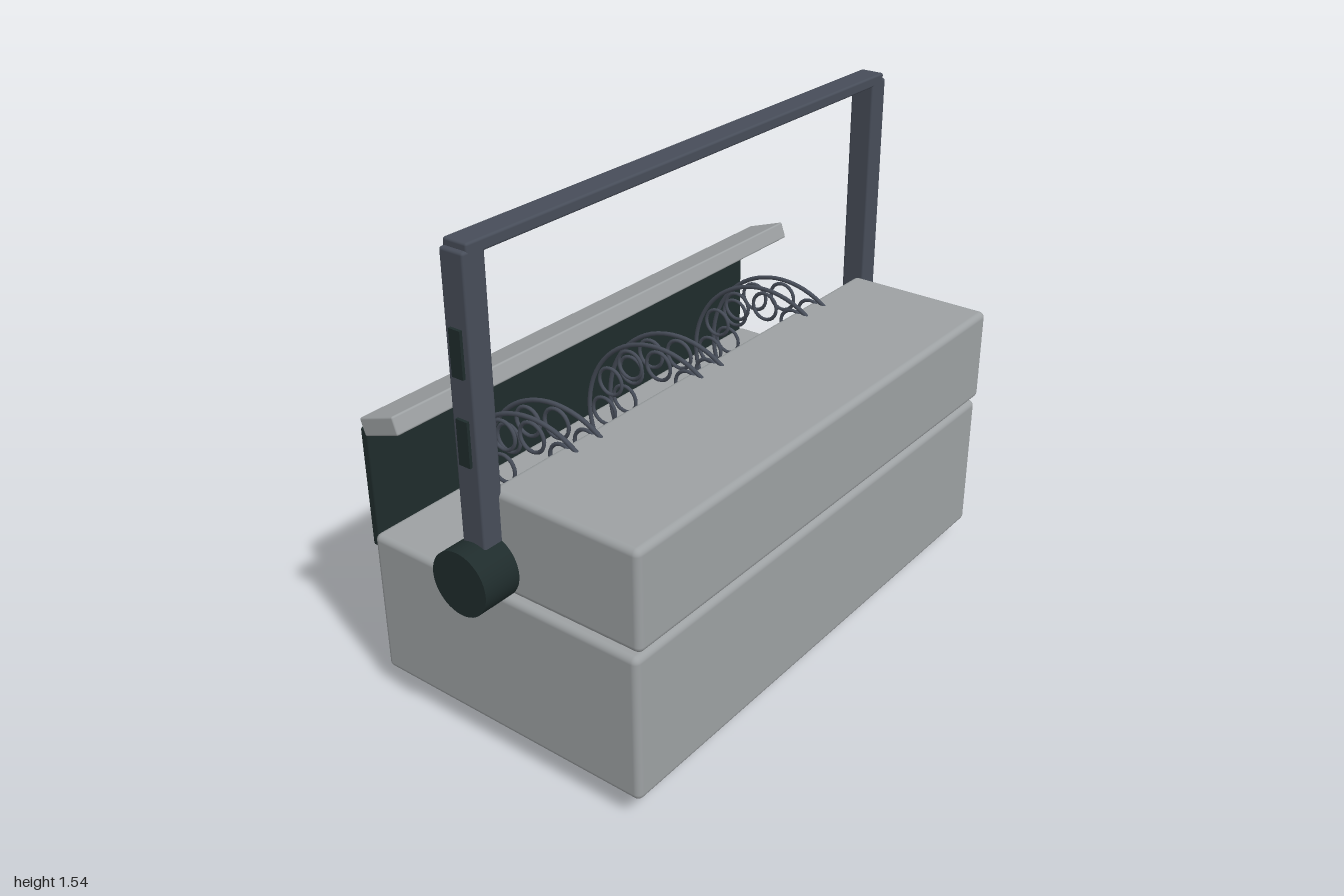
import * as THREE from 'three';
import { RoundedBoxGeometry } from 'three/addons/geometries/RoundedBoxGeometry.js';

const shell = new THREE.MeshStandardMaterial({ name: 'shell grey', color: 0x9da1a3 });
const frame = new THREE.MeshStandardMaterial({ name: 'slate metal', color: 0x474d59 });
const dark = new THREE.MeshStandardMaterial({ name: 'dark rubber', color: 0x1f2c2c });

export function createModel() {
  const model = new THREE.Group();
  model.name = 'ringBinderCase';

  const add = (name, geometry, material, x, y, z, parent = model) => {
    const mesh = new THREE.Mesh(geometry, material);
    mesh.name = name;
    mesh.position.set(x, y, z);
    parent.add(mesh);
    return mesh;
  };
  // Rounded box given by its min/max extents in y and z, centred on x
  const roundedBox = (name, material, width, y0, y1, z0, z1, r) =>
    add(name, new RoundedBoxGeometry(width, y1 - y0, z1 - z0, 3, r), material, 0, (y0 + y1) / 2, (z0 + z1) / 2);

  // Case: wide base, shorter front housing, rear panel
  roundedBox('base', shell, 1.76, 0.07, 0.53, -0.472, 0.485, 0.02);
  roundedBox('frontHousing', shell, 1.755, 0.547, 0.852, 0.005, 0.495, 0.02);
  roundedBox('rearPanel', dark, 1.735, 0.48, 0.86, -0.493, -0.463, 0.008);

  // Tilted strip above the rear panel
  const strip = add('tiltedStrip', new RoundedBoxGeometry(1.8, 0.055, 0.142, 2, 0.006), shell, 0, 0.913, -0.374);
  strip.rotation.x = -0.33;

  // Feet
  const footGeometry = new THREE.CylinderGeometry(0.05, 0.05, 0.08, 24);
  for (const x of [-0.707, 0.707])
    for (const z of [-0.35, 0.362]) add('foot', footGeometry, dark, x, 0.04, z);

  // Carrying handle: top bar, side posts, inset pads and pivot knobs
  const handle = new THREE.Group();
  handle.name = 'handle';
  model.add(handle);
  add('handleBar', new RoundedBoxGeometry(1.85, 0.035, 0.08, 2, 0.007), frame, 0, 1.522, 0, handle);
  const postGeometry = new RoundedBoxGeometry(0.074, 0.9, 0.08, 2, 0.008);
  const padGeometry = new THREE.BoxGeometry(0.02, 0.13, 0.038);
  const knobGeometry = new THREE.CylinderGeometry(0.095, 0.095, 0.13, 40).rotateZ(Math.PI / 2);
  for (const side of [-1, 1]) {
    add('handlePost', postGeometry, frame, side * 0.902, 1.07, 0, handle);
    for (const y of [1.01, 1.255]) add('postPad', padGeometry, dark, side * 0.938, y, 0, handle);
    add('pivotKnob', knobGeometry, dark, side * 0.935, 0.622, 0, handle);
  }

  // Three pairs of large rings, each carrying twelve small rings
  const rimGeometry = new THREE.TorusGeometry(0.28, 0.007, 8, 64).rotateY(Math.PI / 2);
  const smallGeometry = new THREE.TorusGeometry(0.045, 0.006, 6, 24).rotateY(Math.PI / 2);
  for (const centre of [-0.55, 0, 0.55]) {
    for (const offset of [-0.05, 0.05]) {
      const dial = new THREE.Group();
      dial.name = 'dialRing';
      dial.position.set(centre + offset, 0.62, -0.105);
      model.add(dial);
      add('rim', rimGeometry, frame, 0, 0, 0, dial);
      for (let i = 0; i < 12; i++) {
        const a = (i * Math.PI) / 6;
        add('smallRing', smallGeometry, frame, 0, 0.22 * Math.sin(a), 0.22 * Math.cos(a), dial);
      }
    }
  }
  return model;
}
